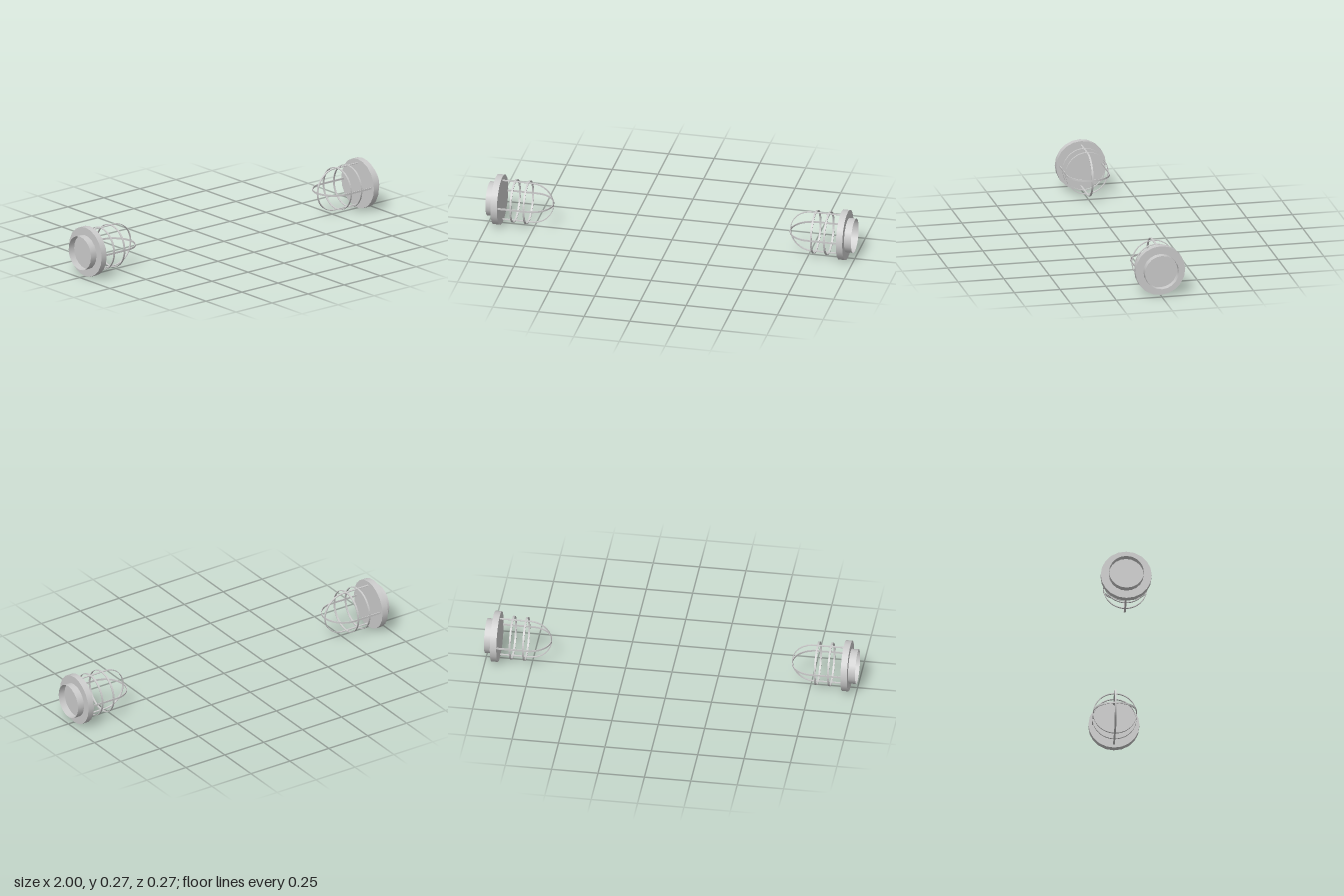
import * as THREE from 'three';

const AXIS_Y = 0.136;   // height of the lamp axis
const CAGE_R = 0.117;   // outer radius of the wire cage
const STRIP_T = 0.004;  // radial thickness of the cage strips
const STRIP_W = 0.01;   // width of the cage strips
const FLANGE_X = 0.073; // front face of the flange, from the wall end
const DOME_X = 0.236;   // where the arches start to curve

const material = new THREE.MeshStandardMaterial({ color: 0xcccccc });
const thinMaterial = new THREE.MeshStandardMaterial({ color: 0xcccccc, side: THREE.DoubleSide });

function addMesh(parent, name, geometry, mat = material) {
  const mesh = new THREE.Mesh(geometry, mat);
  mesh.name = name;
  parent.add(mesh);
  return mesh;
}

// Cylinder lying along x from x0 to x1
function drum(radius, x0, x1, open) {
  return new THREE.CylinderGeometry(radius, radius, x1 - x0, 20, 1, open)
    .rotateZ(-Math.PI / 2)
    .translate((x0 + x1) / 2, 0, 0);
}

function extrudeStrip(shape) {
  return new THREE.ExtrudeGeometry(shape, { depth: STRIP_W, bevelEnabled: false, curveSegments: 24 })
    .translate(0, 0, -STRIP_W / 2);
}

// U-shaped strip: two straight legs joined by a half circle
function archGeometry() {
  const inner = CAGE_R - STRIP_T;
  const shape = new THREE.Shape();
  shape.moveTo(FLANGE_X, -CAGE_R);
  shape.lineTo(DOME_X, -CAGE_R);
  shape.absarc(DOME_X, 0, CAGE_R, -Math.PI / 2, Math.PI / 2, false);
  shape.lineTo(FLANGE_X, CAGE_R);
  shape.lineTo(FLANGE_X, inner);
  shape.lineTo(DOME_X, inner);
  shape.absarc(DOME_X, 0, inner, Math.PI / 2, -Math.PI / 2, true);
  shape.lineTo(FLANGE_X, -inner);
  return extrudeStrip(shape);
}

// Flat hoop around the lamp axis
function hoopGeometry(x) {
  const shape = new THREE.Shape().absarc(0, 0, CAGE_R, 0, Math.PI * 2, false);
  shape.holes.push(new THREE.Path().absarc(0, 0, CAGE_R - STRIP_T, 0, Math.PI * 2, true));
  return extrudeStrip(shape).rotateY(Math.PI / 2).translate(x, 0, 0);
}

// One caged lamp, wall end at x = 0, cage pointing along +x
function createLamp(name) {
  const lamp = new THREE.Group();
  lamp.name = name;

  // Hollow collar and the flange that closes it
  addMesh(lamp, 'collar', drum(0.093, 0, 0.038, true), thinMaterial);
  addMesh(lamp, 'flange', drum(0.136, 0.038, FLANGE_X, false));

  // Cage: two crossed arches and two hoops
  const cage = new THREE.Group();
  cage.name = 'cage';
  lamp.add(cage);
  addMesh(cage, 'uprightArch', archGeometry());
  addMesh(cage, 'levelArch', archGeometry().rotateX(Math.PI / 2));
  addMesh(cage, 'innerHoop', hoopGeometry(0.142));
  addMesh(cage, 'outerHoop', hoopGeometry(0.214));
  return lamp;
}

export function createModel() {
  const model = new THREE.Group();
  model.name = 'cagedLamps';

  // Two lamps facing each other
  for (const side of [-1, 1]) {
    const lamp = createLamp(side < 0 ? 'rightLamp' : 'leftLamp');
    lamp.position.set(side, AXIS_Y, 0);
    if (side > 0) lamp.rotation.y = Math.PI;
    model.add(lamp);
  }
  return model;
}
